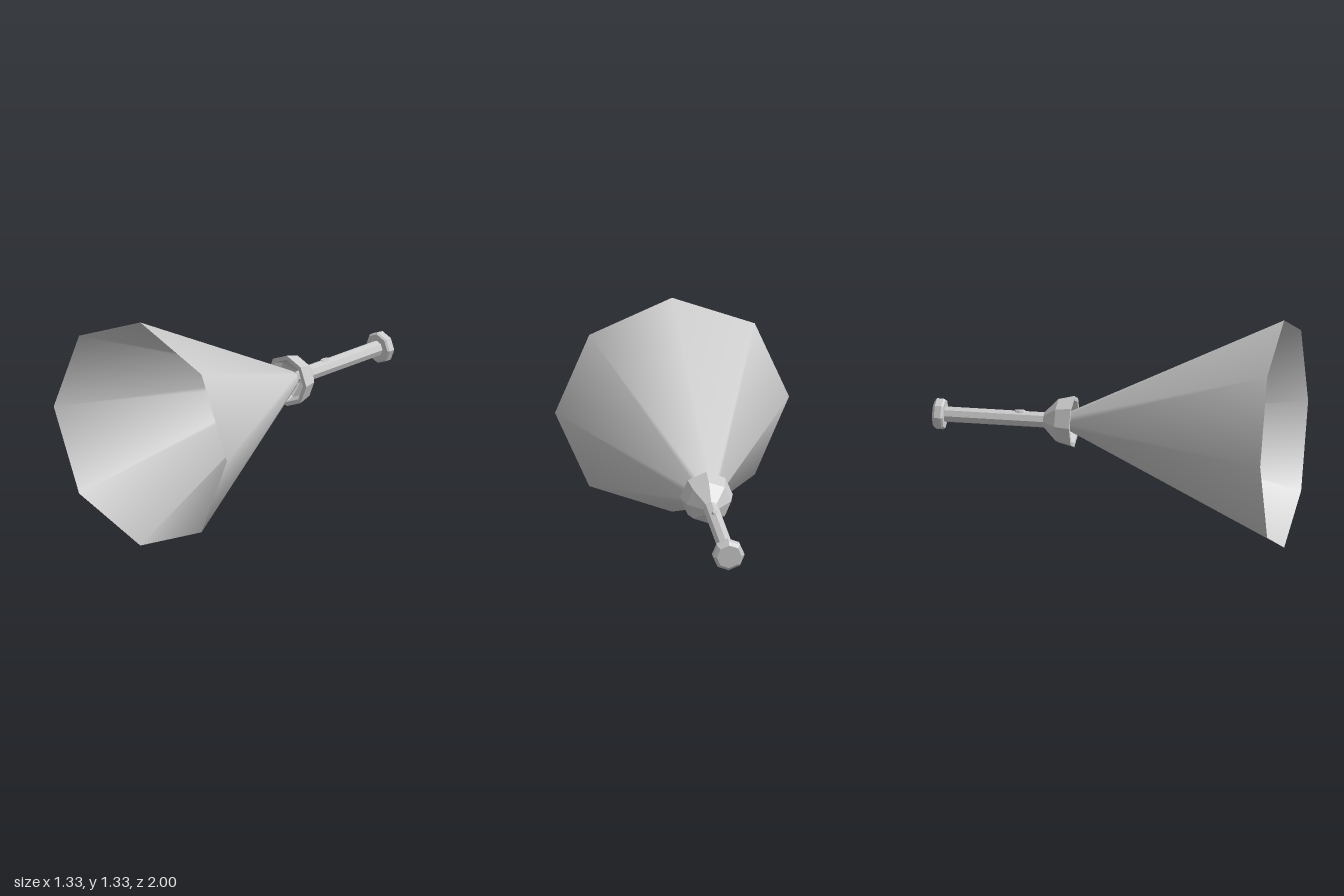
import * as THREE from 'three';

const SIDES = 8;

// Eight-sided turned part along z; profile is [radius, z], running from back to front outside.
function turned(name, profile, material) {
  const points = profile.map(([r, z]) => new THREE.Vector2(r, z));
  const geometry = new THREE.LatheGeometry(points, SIDES);
  geometry.rotateX(Math.PI / 2);
  const mesh = new THREE.Mesh(geometry, material);
  mesh.name = name;
  return mesh;
}

export function createModel() {
  const faceted = new THREE.MeshStandardMaterial({ color: 0xcccccc, flatShading: true });
  const smooth = new THREE.MeshStandardMaterial({ color: 0xcccccc, side: THREE.DoubleSide });

  const model = new THREE.Group();
  model.name = 'flashlight';
  const axis = new THREE.Group();
  axis.name = 'flashlightBody';
  axis.position.y = 0.664;
  model.add(axis);

  // Open beam of light, widening to the front
  axis.add(turned('lightBeam', [[0.045, -0.25], [0.664, 1]], smooth));

  // Cup-shaped head with a hollow reflector
  axis.add(turned('head', [
    [0, -0.37], [0.045, -0.37], [0.127, -0.29], [0.15, -0.2],
    [0.125, -0.2], [0.108, -0.25], [0.04, -0.31], [0, -0.31],
  ], faceted));

  // Small domed bulb in the reflector
  axis.add(turned('bulb', [[0.035, -0.31], [0.035, -0.28], [0.02, -0.26], [0, -0.255]], faceted));

  // Slim handle
  axis.add(turned('handle', [[0.045, -0.95], [0.045, -0.36]], faceted));

  // Chamfered end cap
  axis.add(turned('endCap', [
    [0, -1], [0.07, -1], [0.09, -0.985], [0.09, -0.948], [0.082, -0.937], [0, -0.937],
  ], faceted));

  // Oval switch on top of the handle
  const button = new THREE.Mesh(new THREE.CylinderGeometry(0.7, 1, 1, SIDES), faceted);
  button.name = 'switchButton';
  button.scale.set(0.022, 0.016, 0.04);
  button.position.set(0, 0.041, -0.51);
  axis.add(button);

  return model;
}
